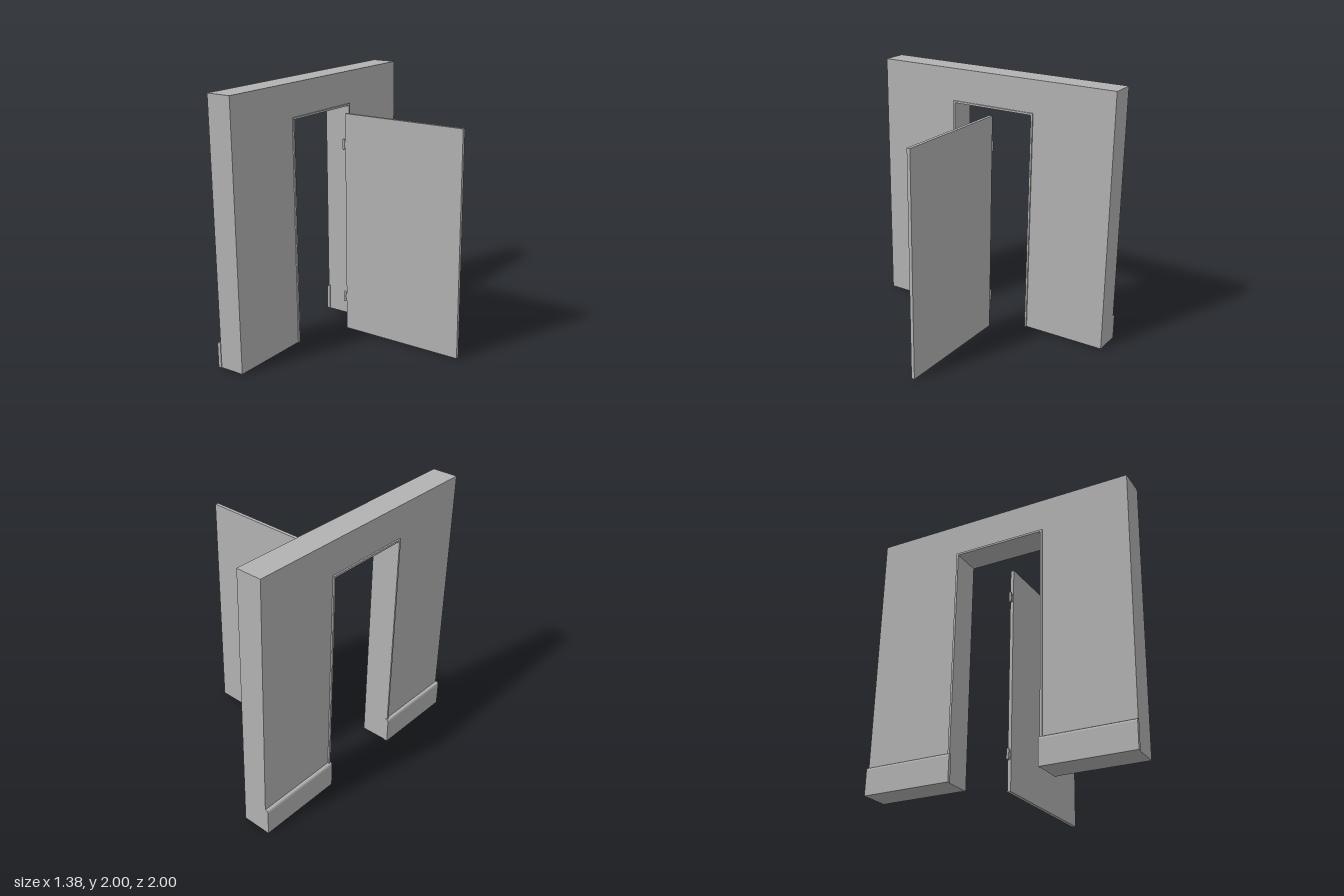
import * as THREE from 'three';

export function createModel() {
  const model = new THREE.Group();
  const grey = new THREE.MeshStandardMaterial({ color: 0xb2b2b2 });
  grey.name = 'plain grey';

  const add = (name, geometry, x = 0, y = 0, z = 0, parent = model) => {
    const mesh = new THREE.Mesh(geometry, grey);
    mesh.name = name;
    mesh.position.set(x, y, z);
    parent.add(mesh);
    return mesh;
  };

  const outline = (points) => new THREE.Shape(points.map(([a, b]) => new THREE.Vector2(a, b)));

  // Door-shaped arch (drawn in z, y) pushed through the wall thickness along x
  const arch = (z0, z1, top, openHalf, openTop, x0, x1) => {
    const shape = outline([
      [-z1, 0], [-openHalf, 0], [-openHalf, openTop], [openHalf, openTop],
      [openHalf, 0], [-z0, 0], [-z0, top], [-z1, top],
    ]);
    const geometry = new THREE.ExtrudeGeometry(shape, { depth: x1 - x0, bevelEnabled: false });
    geometry.rotateY(Math.PI / 2);
    geometry.translate(x0, 0, 0);
    return geometry;
  };

  add('wall', arch(-1, 0.995, 2, 0.349, 1.749, -0.665, -0.47));
  add('doorFrame', arch(-0.35, 0.35, 1.75, 0.335, 1.735, -0.677, -0.46));

  // Skirting boards with a bevelled top, on the back of the wall
  const profile = outline([
    [-0.664, 0], [-0.664, 0.203], [-0.678, 0.201], [-0.686, 0.195], [-0.69, 0.183], [-0.69, 0],
  ]);
  for (const z of [-1, 0.33]) {
    const board = new THREE.ExtrudeGeometry(profile, { depth: 0.67, bevelEnabled: false });
    add('skirtingBoard', board, 0, 0, z);
  }

  // Open door, turned about its hinge line
  const door = new THREE.Group();
  door.name = 'door';
  door.position.set(-0.334, 0, -0.088);
  door.rotation.y = -0.01;
  model.add(door);
  add('doorPanel', new THREE.BoxGeometry(0.995, 1.725, 0.026), 0.5215, 0.8675, 0, door);

  // Hinges: pin with chamfered ends, link and leaf on the door edge
  const pinProfile = [[0, -0.042], [0.006, -0.042], [0.01, -0.036], [0.01, 0.036], [0.006, 0.042], [0, 0.042]]
    .map(([r, y]) => new THREE.Vector2(r, y));
  for (const y of [0.266, 1.492]) {
    const hinge = new THREE.Group();
    hinge.name = 'hinge';
    hinge.position.y = y;
    door.add(hinge);
    const pin = new THREE.LatheGeometry(pinProfile, 12).toNonIndexed();
    pin.computeVertexNormals();
    add('hingePin', pin, 0, 0, 0, hinge);
    add('hingeLink', new THREE.BoxGeometry(0.012, 0.03, 0.008), 0.012, 0, 0, hinge);
    add('hingeLeaf', new THREE.BoxGeometry(0.01, 0.062, 0.014), 0.02, 0, 0, hinge);
  }
  return model;
}
